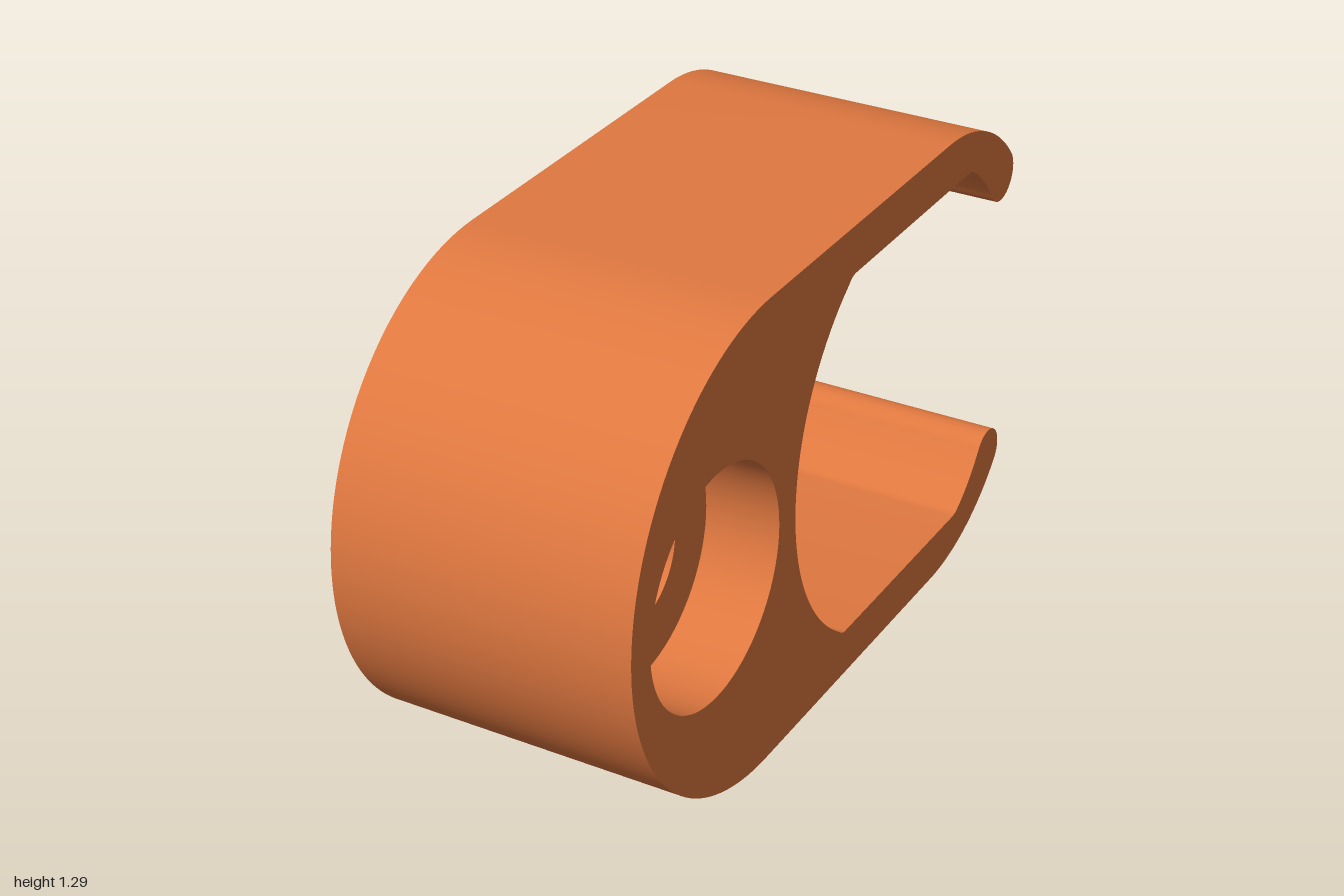
import * as THREE from 'three';
import { toCreasedNormals } from 'three/addons/utils/BufferGeometryUtils.js';

const HALF_WIDTH = 0.405;   // along x
const HALF_HEIGHT = 0.645;  // along y
const BORE = { z: 0.61, holeRadius: 0.155, sinkRadius: 0.307, sinkDepth: 0.2 };
const material = new THREE.MeshStandardMaterial({ color: 0xe07840 });

// Side outline, drawn with u = -z to the right and y centred on zero
function outlinePoints() {
  // Upper jaw: flat top, curved end, round lip, inner hook and inner flat
  const a = 0.723;
  const lip = [0.59 + 0.453 * Math.cos(a), 0.122 + 0.453 * Math.sin(a)];
  const jaw = new THREE.Path();
  jaw.moveTo(-0.355, HALF_HEIGHT);
  jaw.lineTo(0.59, HALF_HEIGHT);
  jaw.absarc(0.59, 0.122, 0.523, Math.PI / 2, a, true);
  jaw.absarc(lip[0], lip[1], 0.07, a, a - Math.PI, true);
  jaw.quadraticCurveTo(0.82, 0.46, 0.75, 0.503);
  jaw.quadraticCurveTo(0.735, 0.515, 0.715, 0.515);
  jaw.lineTo(0.075, 0.515);
  jaw.quadraticCurveTo(0.055, 0.515, 0.04, 0.5);
  const upper = jaw.getPoints(24);
  const lower = upper.map((p) => new THREE.Vector2(p.x, -p.y)).reverse();

  // Concave seat between the jaws, and the round nose
  const phi = Math.asin(0.5 / 0.61);
  const seat = new THREE.Path();
  seat.absarc(0.39, 0, 0.61, Math.PI - phi, Math.PI + phi, false);
  const nose = new THREE.Path();
  nose.absarc(-0.355, 0, HALF_HEIGHT, Math.PI * 1.5, Math.PI / 2, true);
  return [
    ...upper,
    ...seat.getPoints(48).slice(1, -1),
    ...lower,
    ...nose.getPoints(72).slice(1, -1),
  ];
}

// Flat side face with a round opening, facing +x
function sideFace(points, holeRadius) {
  const shape = new THREE.Shape(points);
  const hole = new THREE.Path();
  hole.absarc(-BORE.z, 0, holeRadius, 0, Math.PI * 2, false);
  shape.holes.push(hole);
  const geometry = new THREE.ShapeGeometry(shape, 36);
  geometry.rotateY(Math.PI / 2);
  geometry.translate(HALF_WIDTH, 0, 0);
  return geometry;
}

// Outline swept across the width, without its end faces
function rimWall(points) {
  const solid = new THREE.ExtrudeGeometry(new THREE.Shape(points), {
    depth: HALF_WIDTH * 2, bevelEnabled: false,
  });
  const { start, count } = solid.groups[1];
  const position = solid.attributes.position.array.slice(start * 3, (start + count) * 3);
  const geometry = new THREE.BufferGeometry();
  geometry.setAttribute('position', new THREE.BufferAttribute(position, 3));
  geometry.rotateY(Math.PI / 2);
  geometry.translate(-HALF_WIDTH, 0, 0);
  return toCreasedNormals(geometry, Math.PI / 7);
}

// Stepped bore: wide recess on the left side, narrow hole right through
function steppedBore() {
  const floor = HALF_WIDTH - BORE.sinkDepth;
  const profile = [
    [BORE.sinkRadius, HALF_WIDTH], [BORE.sinkRadius, floor],
    [BORE.holeRadius, floor], [BORE.holeRadius, -HALF_WIDTH],
  ].map(([r, h]) => new THREE.Vector2(r, h));
  const geometry = new THREE.LatheGeometry(profile, 72);
  geometry.rotateZ(-Math.PI / 2);
  geometry.translate(0, 0, BORE.z);
  return toCreasedNormals(geometry, Math.PI / 6);
}

export function createModel() {
  const model = new THREE.Group();
  model.name = 'clip';
  const points = outlinePoints();
  const add = (name, geometry) => {
    const mesh = new THREE.Mesh(geometry, material);
    mesh.name = name;
    mesh.position.y = HALF_HEIGHT;
    model.add(mesh);
  };
  add('clipWall', rimWall(points));
  add('leftFace', sideFace(points, BORE.sinkRadius));
  // The outline is symmetric in y, so a half turn gives the opposite face
  add('rightFace', sideFace(points, BORE.holeRadius).rotateZ(Math.PI));
  add('screwBore', steppedBore());
  return model;
}
